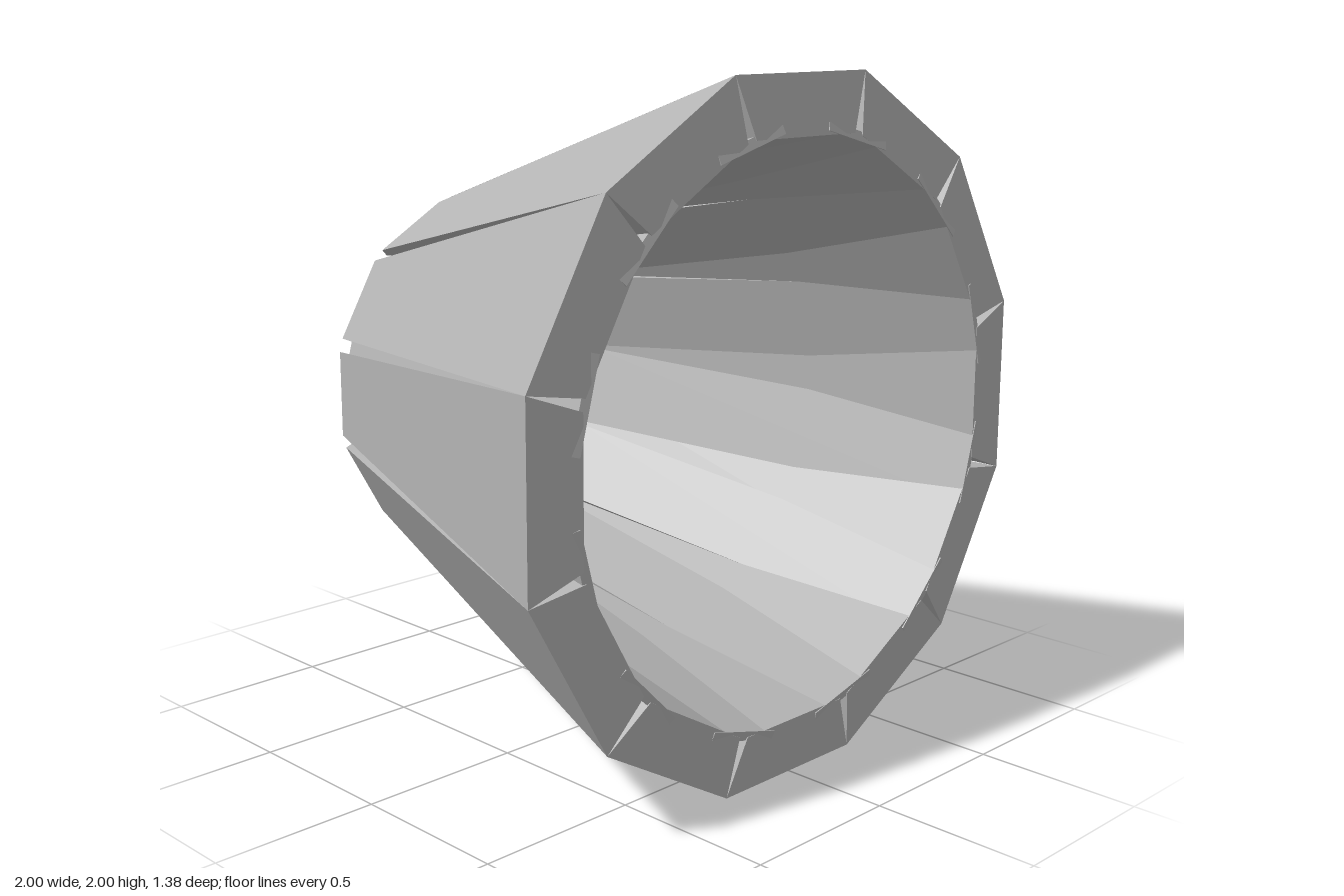
import * as THREE from 'three';

const COUNT = 12;

// Box whose corners are moved to a tapered plate running from front to back.
// Each end gives [half width, radius, z] for its outer and inner edge.
function taperedPlate(front, back) {
  const geo = new THREE.BoxGeometry(2, 2, 2);
  const pos = geo.attributes.position;
  for (let i = 0; i < pos.count; i++) {
    const end = pos.getZ(i) > 0 ? front : back;
    const [half, radius, z] = pos.getY(i) > 0 ? end.outer : end.inner;
    pos.setXYZ(i, Math.sign(pos.getX(i)) * half, radius, z);
  }
  geo.computeVertexNormals();
  return geo;
}

export function createModel() {
  const metal = new THREE.MeshStandardMaterial({ color: 0xb4b4b4, flatShading: true });
  metal.name = 'grey metal';

  // Outer petal: thick lip in front, thin bevelled rim at the back
  const petalGeo = taperedPlate(
    { outer: [0.268, 1.0, 0.67], inner: [0.205, 0.83, 0.69] },
    { outer: [0.132, 0.573, -0.675], inner: [0.118, 0.54, -0.69] }
  );

  // Inner seal: flat strip of constant width behind each gap
  const sealGeo = taperedPlate(
    { outer: [0.13, 0.865, 0.685], inner: [0.13, 0.837, 0.692] },
    { outer: [0.13, 0.538, -0.692], inner: [0.13, 0.508, -0.685] }
  );

  const nozzle = new THREE.Group();
  nozzle.name = 'nozzle';
  nozzle.position.y = 1;

  // Ring of petals with seals half a step between them
  const step = (Math.PI * 2) / COUNT;
  for (let i = 0; i < COUNT; i++) {
    const petal = new THREE.Mesh(petalGeo, metal);
    petal.name = 'outerPetal';
    petal.rotation.z = i * step;

    const seal = new THREE.Mesh(sealGeo, metal);
    seal.name = 'innerSeal';
    seal.rotation.z = (i + 0.5) * step;
    nozzle.add(petal, seal);
  }

  const model = new THREE.Group();
  model.name = 'exhaustNozzle';
  model.add(nozzle);
  return model;
}
